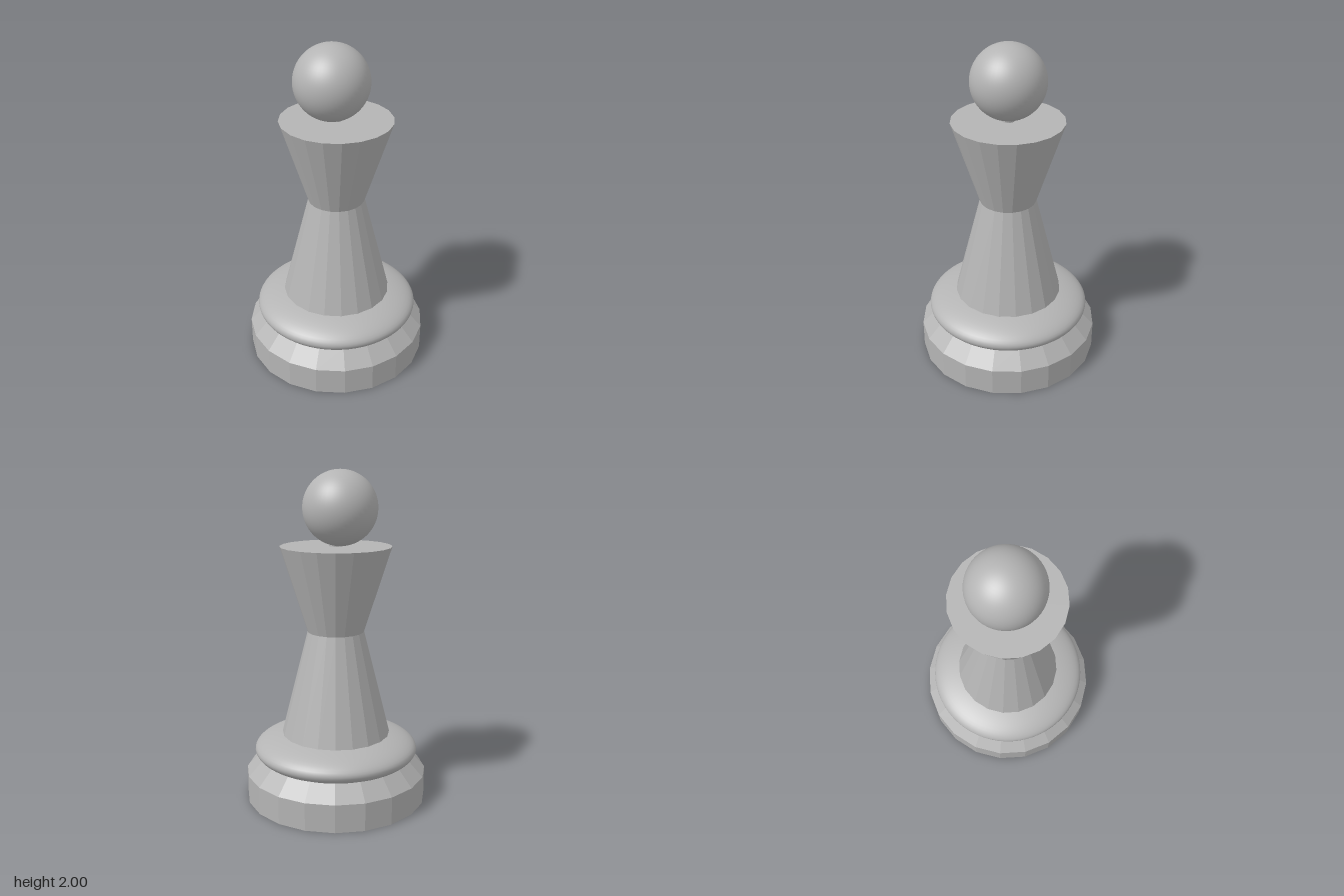
import * as THREE from 'three';

export function createModel() {
  const group = new THREE.Group();
  group.name = 'chessPiece';
  const grey = new THREE.MeshStandardMaterial({ color: 0xb4b4b4 });
  grey.name = 'stone grey';
  const SIDES = 20;

  const add = (name, geometry, x, y, z) => {
    const mesh = new THREE.Mesh(geometry, grey);
    mesh.name = name;
    mesh.position.set(x, y, z);
    group.add(mesh);
    return mesh;
  };

  // Faceted frustum standing between two heights
  const frustum = (name, y0, r0, y1, r1, openEnded = false) => {
    const geometry = new THREE.CylinderGeometry(r1, r0, y1 - y0, SIDES, 1, openEnded).toNonIndexed();
    geometry.computeVertexNormals();
    return add(name, geometry, 0, (y0 + y1) / 2, 0);
  };

  // Foot with a sloping shoulder
  frustum('foot', 0, 0.555, 0.17, 0.555);
  frustum('shoulder', 0.17, 0.555, 0.27, 0.462);

  // Smooth flattened collar
  add('collar', new THREE.SphereGeometry(0.5, 64, 32), 0, 0.31, 0).scale.y = 0.26;

  // Tapered stem and flared crown
  frustum('stem', 0.39, 0.335, 1.045, 0.17);
  frustum('crown', 1.045, 0.17, 1.557, 0.333);

  // Small peg under the slightly off-centre ball
  frustum('peg', 1.55, 0.04, 1.566, 0.04);
  add('ball', new THREE.SphereGeometry(0.221, 48, 32), -0.024, 1.779, 0.01);

  return group;
}
